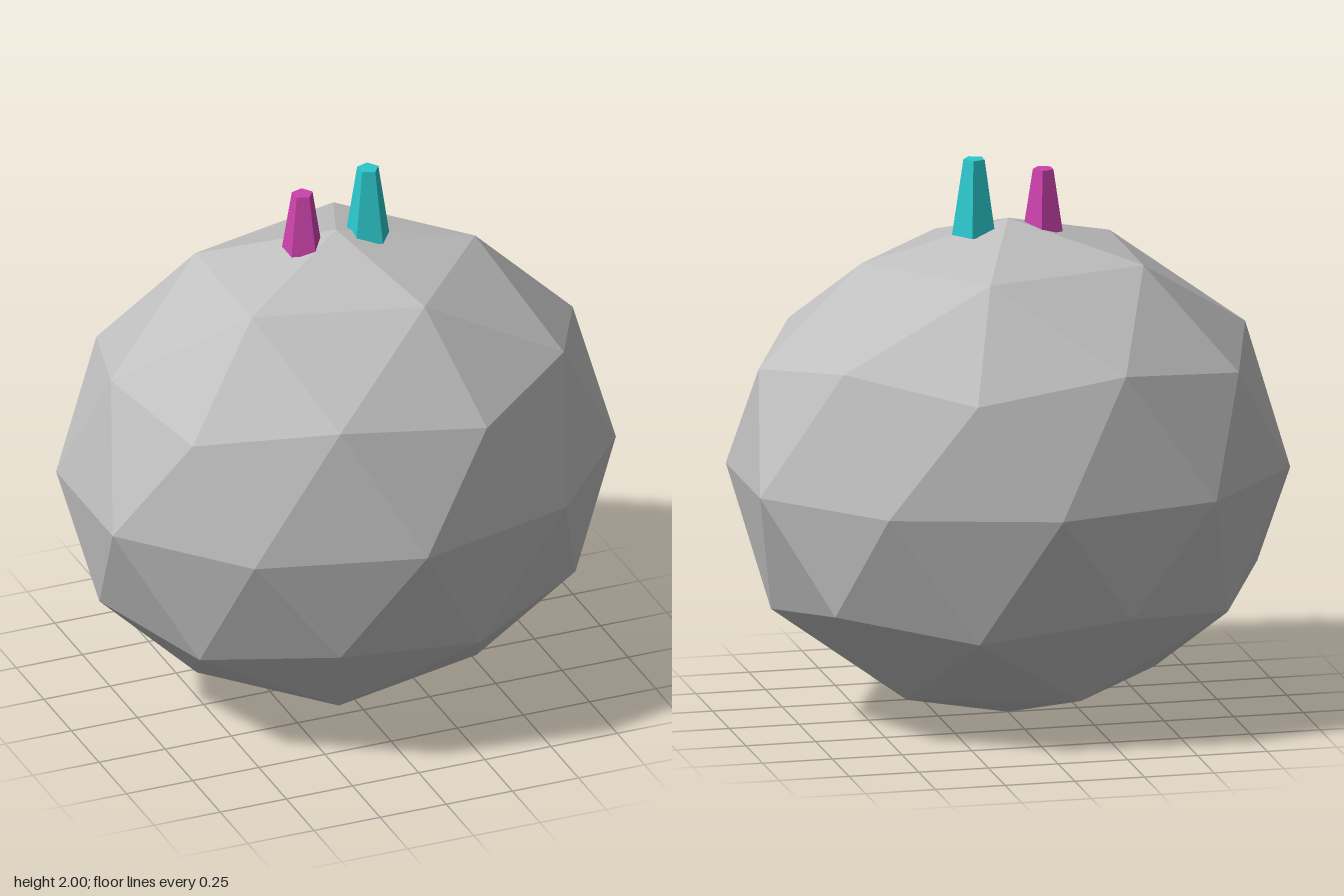
import * as THREE from 'three';

const bodyGrey = new THREE.MeshStandardMaterial({ color: 0xc0c0c0, flatShading: true });
bodyGrey.name = 'bodyGrey';
const cyan = new THREE.MeshStandardMaterial({ color: 0x2cc8cc, flatShading: true });
cyan.name = 'cyan';
const magenta = new THREE.MeshStandardMaterial({ color: 0xcc42ac, flatShading: true });
magenta.name = 'magenta';

// Five-sided tapered peg with one corner pointing to +x
function peg(name, material, x, bottom, top, bottomRadius, topRadius) {
  const geometry = new THREE.CylinderGeometry(topRadius, bottomRadius, top - bottom, 5, 1, false, Math.PI / 2);
  const mesh = new THREE.Mesh(geometry, material);
  mesh.name = name;
  mesh.position.set(x, (bottom + top) / 2, 0);
  return mesh;
}

export function createModel() {
  const model = new THREE.Group();
  model.name = 'facetedBall';

  // Body: once-subdivided icosahedron, turned so a corner is at the top, then squashed
  const geometry = new THREE.IcosahedronGeometry(1, 1);
  geometry.rotateZ(-Math.atan(2 / (1 + Math.sqrt(5))));
  geometry.scale(1, 0.89, 0.83);
  geometry.computeVertexNormals();
  const body = new THREE.Mesh(geometry, bodyGrey);
  body.name = 'body';
  body.position.y = 0.89;
  model.add(body);

  // Two pegs on top
  model.add(peg('leftPeg', cyan, 0.121, 1.73, 2.0, 0.08, 0.039));
  model.add(peg('rightPeg', magenta, -0.127, 1.73, 1.95, 0.073, 0.038));
  return model;
}
